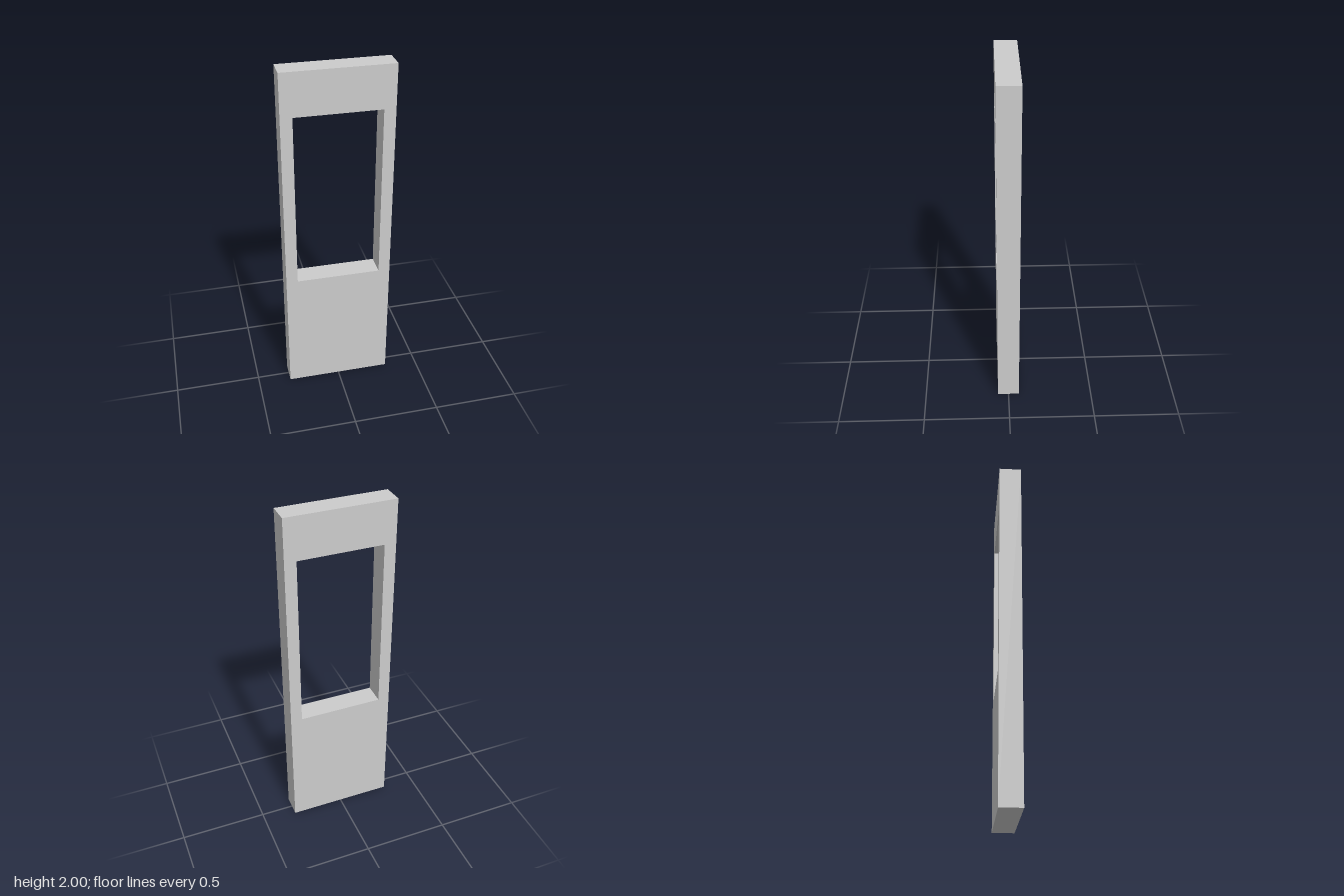
import * as THREE from 'three';

// Adds a closed rectangle to a shape or path
function rectangle(path, halfWidth, bottom, top) {
  path.moveTo(-halfWidth, bottom);
  path.lineTo(halfWidth, bottom);
  path.lineTo(halfWidth, top);
  path.lineTo(-halfWidth, top);
  path.closePath();
  return path;
}

export function createModel() {
  const group = new THREE.Group();
  group.name = 'wallPanelWithWindow';
  const depth = 0.126;

  // Upright panel with a rectangular window opening
  const outline = rectangle(new THREE.Shape(), 0.307, 0, 2);
  outline.holes.push(rectangle(new THREE.Path(), 0.241, 0.742, 1.757));

  const geometry = new THREE.ExtrudeGeometry(outline, { depth, bevelEnabled: false });
  geometry.translate(0, 0, -depth / 2);

  const panel = new THREE.Mesh(geometry, new THREE.MeshStandardMaterial({ color: 0xcccccc, flatShading: true }));
  panel.name = 'windowPanel';
  group.add(panel);
  return group;
}
